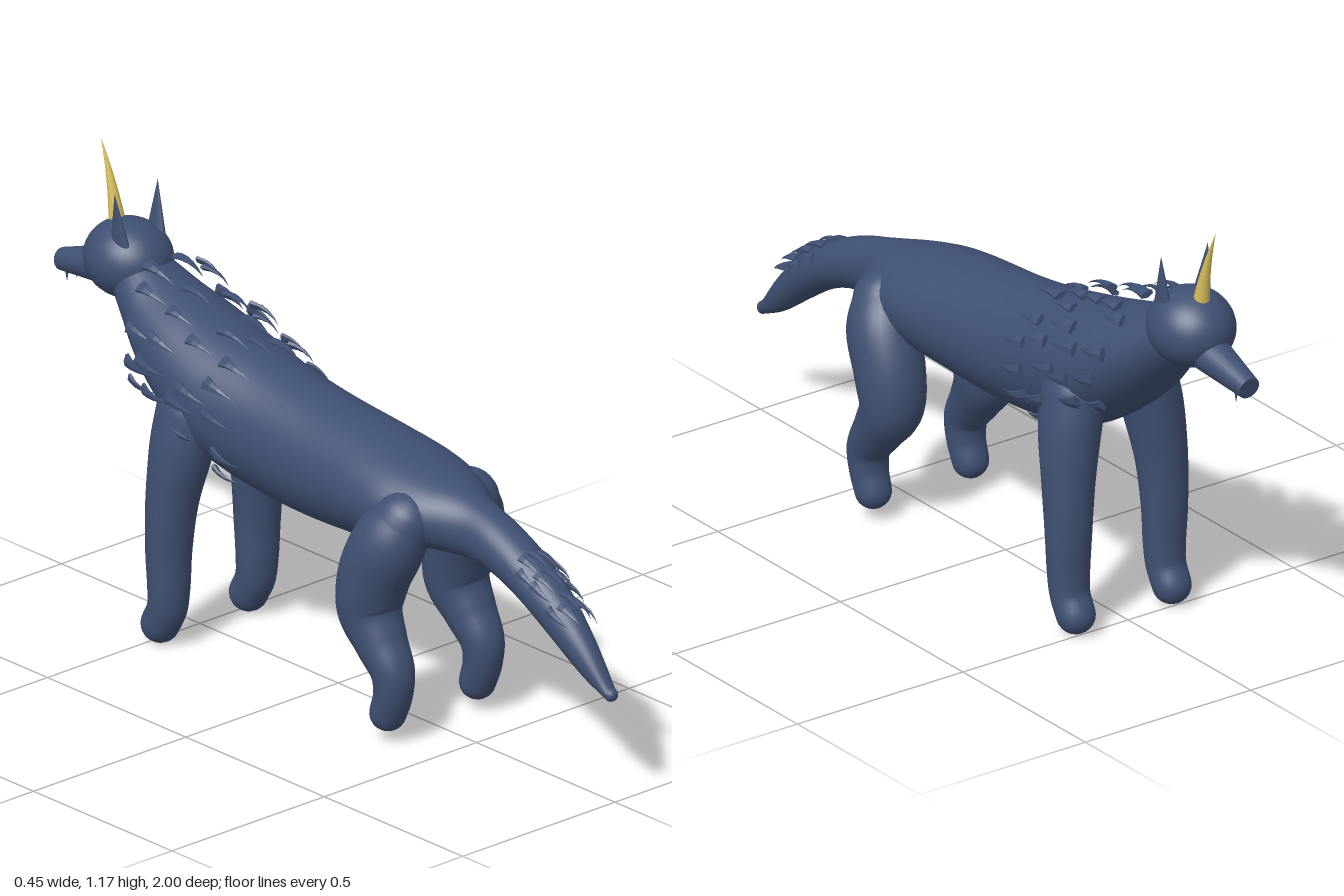
import * as THREE from 'three';

const V = (x, y, z) => new THREE.Vector3(x, y, z);
const X = V(1, 0, 0);

// Smooth closed loft through stations [x, y, z, rx, ry]; rounded ends.
// With fixedT the sections stay parallel, otherwise they follow the path.
function loft(stations, steps, fixedT, seg = 28) {
  const path = new THREE.CatmullRomCurve3(stations.map(s => V(s[0], s[1], s[2])), false, 'catmullrom');
  const radii = new THREE.CatmullRomCurve3(stations.map(s => V(s[3], s[4] ?? s[3], 0)), false, 'catmullrom');
  const rings = [];
  const frame = t => {
    const T = fixedT ? fixedT.clone() : path.getTangent(t);
    const side = X.clone().addScaledVector(T, -T.x).normalize();
    return { c: path.getPoint(t), r: radii.getPoint(t), T, U: side, W: T.clone().cross(side) };
  };
  const addRing = (f, shift, k) => rings.push({ ...f, c: f.c.clone().addScaledVector(f.T, shift), k });
  const a = frame(0), b = frame(1);
  for (let i = 6; i > 0; i--) addRing(a, -a.r.x * Math.sin(i * Math.PI / 12), Math.cos(i * Math.PI / 12));
  for (let i = 0; i <= steps; i++) addRing(frame(i / steps), 0, 1);
  for (let i = 1; i <= 6; i++) addRing(b, b.r.x * Math.sin(i * Math.PI / 12), Math.cos(i * Math.PI / 12));
  const pos = [], idx = [];
  rings.forEach((f, i) => {
    for (let j = 0; j < seg; j++) {
      const q = j / seg * Math.PI * 2;
      const p = f.c.clone().addScaledVector(f.U, Math.cos(q) * f.r.x * f.k)
        .addScaledVector(f.W, Math.sin(q) * f.r.y * f.k);
      pos.push(p.x, p.y, p.z);
      if (i === rings.length - 1) continue;
      const n = (j + 1) % seg, o = i * seg, u = o + seg;
      idx.push(o + j, o + n, u + n, o + j, u + n, u + j);
    }
  });
  const g = new THREE.BufferGeometry();
  g.setAttribute('position', new THREE.Float32BufferAttribute(pos, 3));
  g.setIndex(idx);
  g.computeVertexNormals();
  return g;
}

// Flat, drooping tuft of fur: unit length along +y, thin along z
function tuftGeometry() {
  const g = new THREE.ConeGeometry(0.2, 1, 6, 4).translate(0, 0.5, 0);
  const p = g.attributes.position;
  for (let i = 0; i < p.count; i++) {
    const y = p.getY(i);
    p.setZ(i, p.getZ(i) * 0.45 + 0.25 * y - 0.4 * y * y);
  }
  const flat = g.toNonIndexed();
  flat.computeVertexNormals();
  return flat;
}

export function createModel() {
  const root = new THREE.Group();
  const fur = new THREE.MeshStandardMaterial({ name: 'slate blue fur', color: 0x3f5072 });
  const gold = new THREE.MeshStandardMaterial({ name: 'golden horn', color: 0xd6bc58 });
  const add = (name, geo, mat = fur, parent = root) => {
    const m = new THREE.Mesh(geo, mat);
    m.name = name;
    parent.add(m);
    return m;
  };

  // Tail, barrel and neck in one skin: [z, bottom, top, half width]
  const profile = [
    [0.985, 0.275, 0.31, 0.018], [0.9, 0.315, 0.42, 0.036], [0.8, 0.385, 0.515, 0.053],
    [0.7, 0.45, 0.58, 0.063], [0.6, 0.49, 0.628, 0.066], [0.5, 0.503, 0.66, 0.075],
    [0.4, 0.5, 0.687, 0.13], [0.3, 0.48, 0.712, 0.16], [0.2, 0.463, 0.732, 0.162],
    [0.1, 0.453, 0.747, 0.156], [0, 0.448, 0.758, 0.154], [-0.1, 0.449, 0.772, 0.153],
    [-0.2, 0.458, 0.79, 0.154], [-0.3, 0.474, 0.812, 0.162], [-0.4, 0.505, 0.836, 0.168],
    [-0.5, 0.565, 0.865, 0.158], [-0.6, 0.645, 0.895, 0.132], [-0.68, 0.73, 0.93, 0.1],
    [-0.75, 0.8, 0.95, 0.07],
  ];
  add('bodyAndTail', loft(profile.map(([z, b, t, w]) => [0, (b + t) / 2, z, w, (t - b) / 2]), 90, V(0, 0, -1), 40));

  // Legs, mirrored
  for (const s of [1, -1]) {
    const side = s > 0 ? 'Left' : 'Right';
    add('frontLeg' + side, loft([
      [s * 0.105, 0.63, -0.42, 0.075, 0.09], [s * 0.125, 0.53, -0.43, 0.075, 0.082],
      [s * 0.14, 0.4, -0.445, 0.066], [s * 0.145, 0.27, -0.452, 0.058], [s * 0.145, 0.17, -0.452, 0.053],
      [s * 0.145, 0.11, -0.458, 0.05], [s * 0.145, 0.062, -0.482, 0.049],
    ], 40));
    add('hindLeg' + side, loft([
      [s * 0.105, 0.585, 0.355, 0.075, 0.08], [s * 0.13, 0.52, 0.325, 0.088, 0.095],
      [s * 0.14, 0.43, 0.285, 0.087, 0.092], [s * 0.143, 0.34, 0.272, 0.08, 0.083],
      [s * 0.146, 0.265, 0.315, 0.066], [s * 0.147, 0.2, 0.358, 0.055],
      [s * 0.147, 0.14, 0.36, 0.049], [s * 0.147, 0.085, 0.342, 0.046],
    ], 44));
  }

  // Head
  const head = new THREE.Group();
  head.name = 'head';
  root.add(head);
  add('skull', new THREE.SphereGeometry(1, 40, 28).scale(0.107, 0.1, 0.117), fur, head).position.set(0, 0.9, -0.757);
  const snout = add('snout', new THREE.CylinderGeometry(0.03, 0.052, 0.17, 24).scale(1, 1, 0.95), fur, head);
  snout.position.set(0, 0.839, -0.911);
  snout.quaternion.setFromUnitVectors(V(0, 1, 0), V(0, -0.22, -1).normalize());
  for (const s of [1, -1]) {
    // Upright ears with a slightly inward-bowed tip, and tiny fangs
    const ear = new THREE.ConeGeometry(1, 1, 16, 6).translate(0, 0.5, 0).scale(0.014, 0.135, 0.031);
    const p = ear.attributes.position;
    for (let i = 0; i < p.count; i++) {
      const t = p.getY(i) / 0.135;
      p.setX(i, p.getX(i) + s * 0.012 * t);
      p.setZ(i, p.getZ(i) - 0.008 * t);
    }
    ear.computeVertexNormals();
    add(s > 0 ? 'earLeft' : 'earRight', ear, fur, head).position.set(s * 0.059, 0.96, -0.722);
    const fang = add('fang', new THREE.ConeGeometry(0.004, 0.025, 8), fur, head);
    fang.rotation.x = Math.PI;
    fang.position.set(s * 0.016, 0.788, -0.962);
  }

  // Curved horn
  const horn = new THREE.ConeGeometry(0.023, 0.22, 20, 12).translate(0, 0.11, 0);
  const hp = horn.attributes.position;
  for (let i = 0; i < hp.count; i++) {
    const t = hp.getY(i) / 0.22;
    hp.setZ(i, hp.getZ(i) - 0.03 * t - 0.032 * t * t);
  }
  horn.computeVertexNormals();
  add('horn', horn, gold, head).position.set(0, 0.965, -0.796);

  // Fur tufts laid around the neck and tail, pointing backwards
  let seed = 11;
  const rnd = () => (seed = (seed * 16807) % 2147483647) / 2147483647;
  const tuftGeo = tuftGeometry();
  const sectionAt = z => {
    const i = Math.max(1, profile.findIndex(q => q[0] <= z)), a = profile[i - 1], b = profile[i];
    return a.map((v, k) => THREE.MathUtils.lerp(v, b[k], (z - a[0]) / (b[0] - a[0])));
  };
  const tuft = (parent, z, angle, lift, length, dir) => {
    const [, b, t, w] = sectionAt(z), h = (t - b) / 2;
    const n = V(Math.sin(angle) / w, Math.cos(angle) / h, 0).normalize();
    const m = add('tuft', tuftGeo, fur, parent);
    m.position.set(Math.sin(angle) * w, (t + b) / 2 + Math.cos(angle) * h, z).addScaledVector(n, lift);
    const y = dir.clone().addScaledVector(n, 0.1).normalize();
    const x = y.clone().cross(n).normalize();
    m.quaternion.setFromRotationMatrix(new THREE.Matrix4().makeBasis(x, y, x.clone().cross(y)));
    m.scale.set(length, length, length);
  };
  const mane = new THREE.Group(), tailTufts = new THREE.Group();
  mane.name = 'mane';
  tailTufts.name = 'tailTufts';
  root.add(mane, tailTufts);
  for (let row = 0; row < 4; row++) {
    for (let k = 0; k < 11; k++) {
      const angle = (k - 5 + (row % 2 ? 0.25 : -0.25)) * 0.42 + (rnd() - 0.5) * 0.2;
      tuft(mane, -0.3 - row * 0.1 + (rnd() - 0.5) * 0.07, angle, 0.012 + row * 0.009, 0.085 + rnd() * 0.02, V(0, -0.2, 1));
    }
  }
  for (let row = 0; row < 3; row++) {
    for (let k = 0; k < 5; k++) {
      tuft(tailTufts, 0.69 + row * 0.055 + rnd() * 0.03, (k - 2) * 0.5 + (rnd() - 0.5) * 0.3, 0.002, 0.07 + rnd() * 0.015, V(0, -0.4, 1));
    }
  }
  return root;
}
